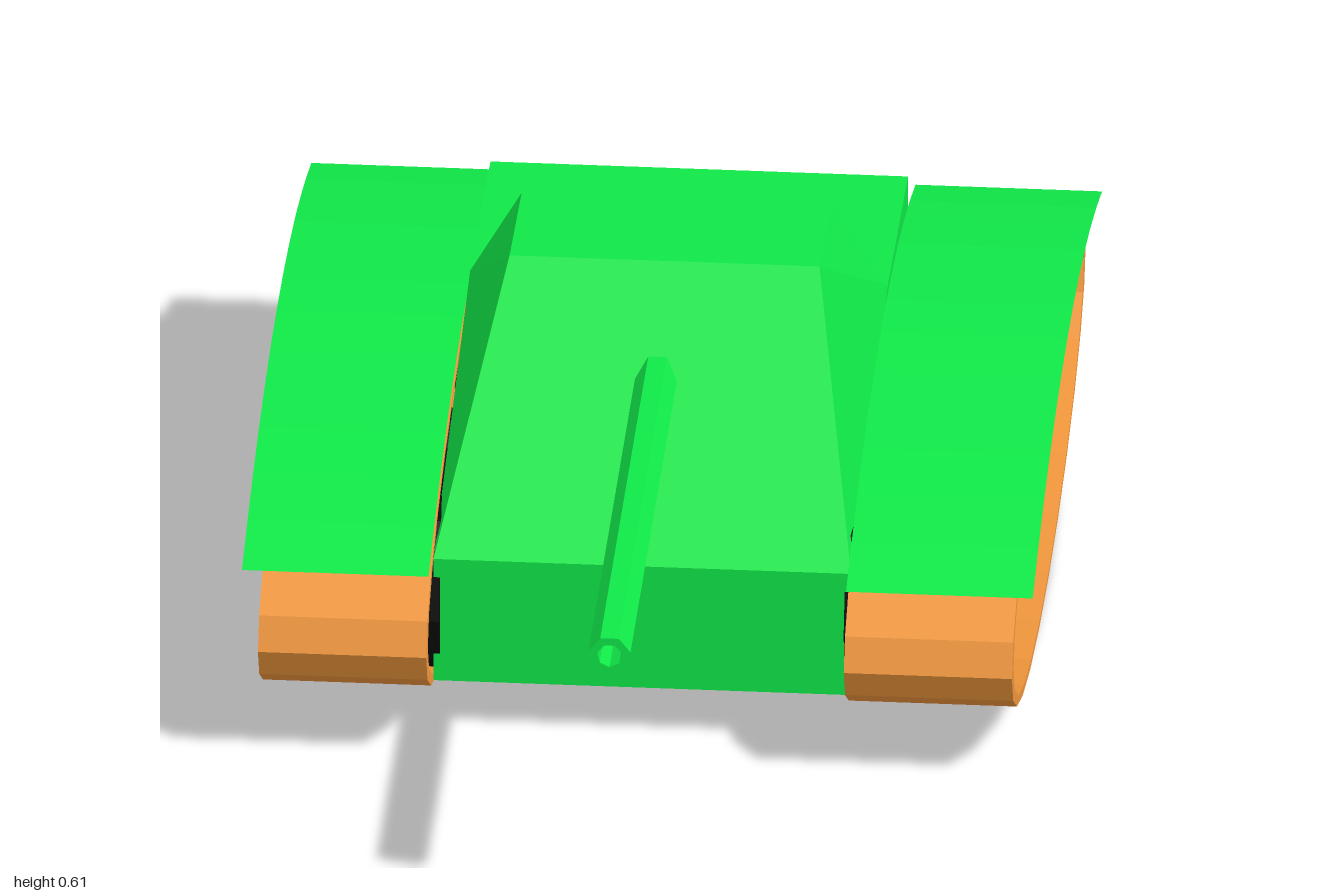
import * as THREE from 'three';
import { ConvexGeometry } from 'three/addons/geometries/ConvexGeometry.js';

const paint = (color, side = THREE.FrontSide) =>
  new THREE.MeshStandardMaterial({ color, side, flatShading: true });

// Extrudes a side profile drawn in (z, y) across the width from x0 to x1
function extrudeAcross(shape, x0, x1) {
  const geo = new THREE.ExtrudeGeometry(shape, { depth: x1 - x0, bevelEnabled: false });
  return geo.rotateY(-Math.PI / 2).translate(x1, 0, 0);
}

// Points of a 24-sided ellipse centred on the running gear
function ellipse(rz, ry) {
  return Array.from({ length: 24 }, (_, i) => {
    const a = (i / 24) * Math.PI * 2;
    return new THREE.Vector2(-0.255 + rz * Math.cos(a), 0.2 + ry * Math.sin(a));
  });
}

export function createModel() {
  const model = new THREE.Group();
  const green = paint(0x10e848);
  const greenSheet = paint(0x10e848, THREE.DoubleSide);
  const orange = paint(0xf0963c);
  const black = paint(0x0c0c0c);

  const add = (parent, name, geo, mat) => {
    const mesh = new THREE.Mesh(geo, mat);
    mesh.name = name;
    parent.add(mesh);
    return mesh;
  };

  // Hull with a raised rear belly
  const hullProfile = [[0.34, 0.085], [0.34, 0.3], [-0.4, 0.43], [-0.81, 0.412], [-0.81, 0.2], [-0.45, 0.085]];
  const hullShape = new THREE.Shape(hullProfile.map(([z, y]) => new THREE.Vector2(z, y)));
  add(model, 'hull', extrudeAcross(hullShape, -0.33, 0.33), green);

  // Wedge turret rising from the hull's top edges
  const turretCorners = [];
  for (const s of [-1, 1]) {
    turretCorners.push(
      new THREE.Vector3(s * 0.33, 0.3, 0.34),
      new THREE.Vector3(s * 0.33, 0.43, -0.4),
      new THREE.Vector3(s * 0.245, 0.61, -0.11),
      new THREE.Vector3(s * 0.245, 0.595, -0.355));
  }
  add(model, 'turret', new ConvexGeometry(turretCorners), green);

  // Seven-sided gun barrel with a narrow bore
  const barrelProfile = [[0.034, -0.1], [0.034, 1], [0.02, 1], [0.02, 0.9], [0, 0.9]];
  const barrel = new THREE.LatheGeometry(barrelProfile.map(([r, z]) => new THREE.Vector2(r, z)), 7);
  barrel.rotateX(Math.PI / 2).translate(0, 0.482, 0);
  add(model, 'gunBarrel', barrel, greenSheet);

  // Running gear, built alike on both sides
  const trackShape = new THREE.Shape(ellipse(0.742, 0.2));
  trackShape.holes.push(new THREE.Path(ellipse(0.708, 0.19)));
  const wheels = [
    ['frontWheel', 0.225, 0.2, 0.137, 0.53],
    ['frontRoller', -0.075, 0.09, 0.077, 0.5],
    ['rearRoller', -0.42, 0.09, 0.077, 0.5],
    ['rearWheel', -0.735, 0.2, 0.137, 0.53],
  ];
  const fenderRadius = 2.5;
  const halfArc = Math.asin(0.7 / fenderRadius);

  for (const side of [-1, 1]) {
    const gear = new THREE.Group();
    gear.name = side > 0 ? 'leftRunningGear' : 'rightRunningGear';
    model.add(gear);

    const x0 = side > 0 ? 0.33 : -0.596;
    add(gear, 'track', extrudeAcross(trackShape, x0, x0 + 0.266), orange);

    // Thin arched fender over the track
    const fender = new THREE.CylinderGeometry(fenderRadius, fenderRadius, 0.295, 12, 1, true,
      Math.PI / 2 - halfArc, 2 * halfArc);
    fender.rotateZ(Math.PI / 2).translate(side * 0.4775, 0.42 - fenderRadius, -0.26);
    add(gear, 'fender', fender, greenSheet);

    for (const [name, z, y, radius, outer] of wheels) {
      const wheel = new THREE.CylinderGeometry(radius, radius, outer - 0.32, 10);
      wheel.rotateZ(Math.PI / 2).translate(side * (outer + 0.32) / 2, y, z);
      add(gear, name, wheel, black);
    }
  }
  return model;
}
